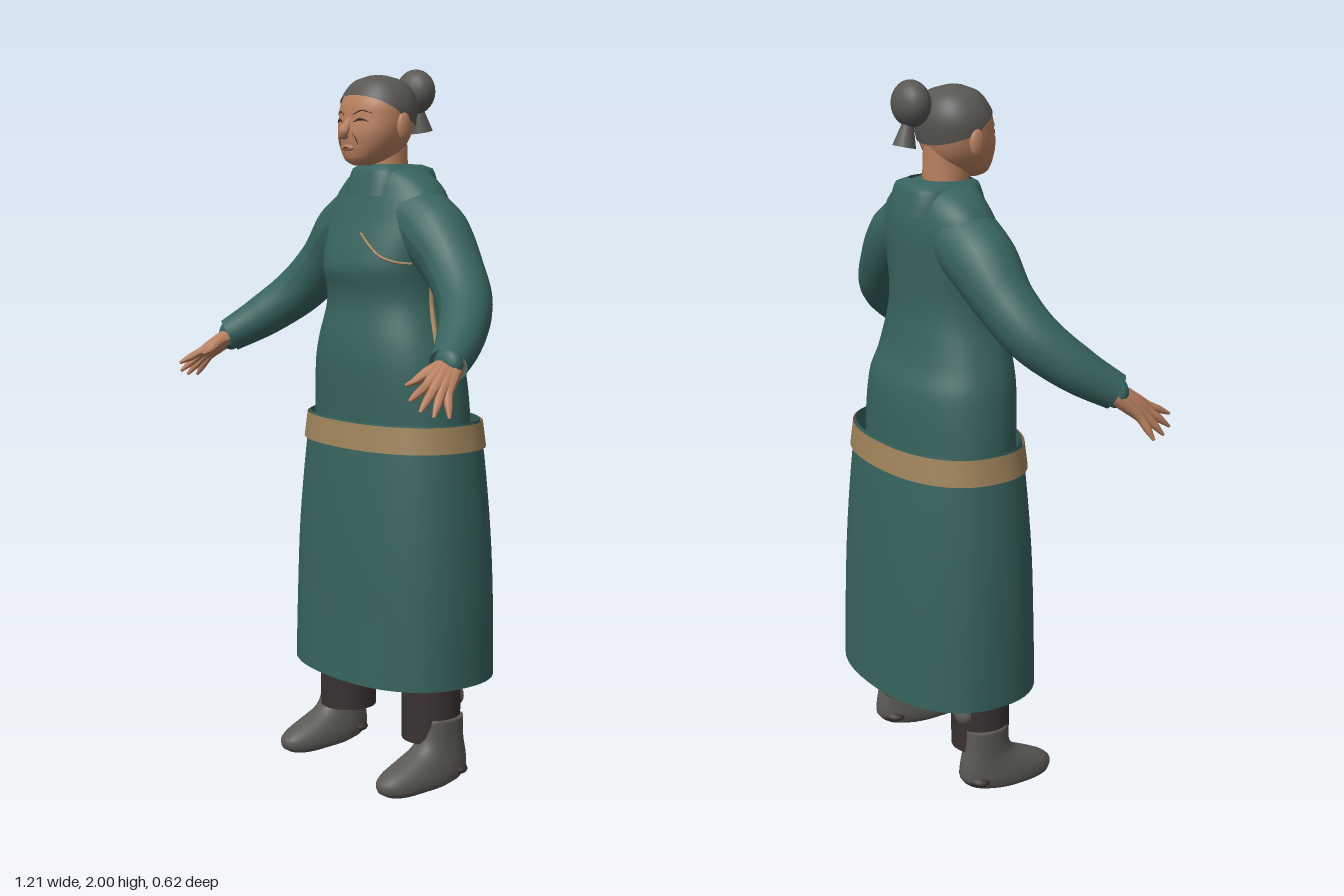
import * as THREE from 'three';

const V = (x, y, z) => new THREE.Vector3(x, y, z);
const mat = (name, color, side = THREE.FrontSide) => {
  const m = new THREE.MeshStandardMaterial({ color, side });
  m.name = name;
  return m;
};

// Section tables: [y, half width, front z, back z]
const TORSO = [[0.96, 0.275, 0.1, -0.235], [1.04, 0.273, 0.103, -0.237], [1.18, 0.255, 0.11, -0.228], [1.25, 0.235, 0.105, -0.203],
  [1.35, 0.2, 0.09, -0.185], [1.4, 0.193, 0.095, -0.18], [1.45, 0.195, 0.108, -0.18], [1.52, 0.207, 0.09, -0.18],
  [1.59, 0.218, 0.062, -0.18], [1.64, 0.21, 0.045, -0.175], [1.68, 0.18, 0.03, -0.165], [1.715, 0.13, 0.02, -0.145], [1.735, 0.075, 0.01, -0.12]];
const SKIRT = [[0.3, 0.33, 0.16, -0.31], [0.5, 0.332, 0.15, -0.302], [0.7, 0.325, 0.142, -0.293], [0.9, 0.306, 0.128, -0.279], [1.035, 0.288, 0.115, -0.265]];
const BELT = [[0.957, 0.307, 0.131, -0.281], [1.03, 0.296, 0.123, -0.273]];
const COLLAR = [[1.652, 0.11, 0.055, -0.195], [1.695, 0.106, 0.043, -0.185], [1.735, 0.09, 0.028, -0.168], [1.738, 0.075, 0.015, -0.14]];
const HEAD = [[1.735, 0.02, 0.06, 0.01], [1.745, 0.048, 0.076, -0.02], [1.765, 0.073, 0.084, -0.06], [1.79, 0.092, 0.088, -0.088], [1.82, 0.105, 0.09, -0.103],
  [1.86, 0.112, 0.084, -0.112], [1.9, 0.111, 0.078, -0.115], [1.94, 0.092, 0.058, -0.1], [1.965, 0.063, 0.034, -0.074], [1.977, 0.02, 0, -0.035]];
const SHOE = [[0.005, 0.045, 0.135, 0], [0.015, 0.06, 0.15, -0.1], [0.04, 0.064, 0.155, -0.14], [0.06, 0.062, 0.135, -0.145],
  [0.085, 0.057, 0.085, -0.143], [0.11, 0.052, 0.035, -0.138], [0.14, 0.05, 0.01, -0.132], [0.2, 0.05, 0, -0.13]];

// Smooth lookup of a section at height y
function section(table, y) {
  let i = 0;
  while (i < table.length - 2 && y > table[i + 1][0]) i++;
  const a = table[i], b = table[i + 1], h = b[0] - a[0];
  const t = THREE.MathUtils.clamp((y - a[0]) / h, 0, 1);
  const p = table[Math.max(i - 1, 0)], q = table[Math.min(i + 2, table.length - 1)];
  return [1, 2, 3].map(k => {
    const m0 = (b[k] - p[k]) / (b[0] - p[0]) * h, m1 = (q[k] - a[k]) / (q[0] - a[0]) * h;
    const t2 = t * t, t3 = t2 * t;
    return (2 * t3 - 3 * t2 + 1) * a[k] + (t3 - 2 * t2 + t) * m0 + (3 * t2 - 2 * t3) * b[k] + (t3 - t2) * m1;
  });
}

// Point on a rounded-oval section; angle 0 faces the front
function surfacePoint(table, y, angle, n = 2.2, grow = 0) {
  const [w, f, b] = section(table, y), s = Math.sin(angle), c = Math.cos(angle);
  const r = v => Math.sign(v) * Math.pow(Math.abs(v), 2 / n);
  return V((w + grow) * r(s), y, (f + b) / 2 + ((f - b) / 2 + grow) * r(c));
}

// Front point of a section at a given x
function frontPoint(table, x, y, n = 2.2, grow = 0.002) {
  const [w, f, b] = section(table, y);
  return V(x, y, (f + b) / 2 + (f - b) / 2 * Math.pow(Math.max(0, 1 - Math.pow(Math.abs(x) / w, n)), 1 / n) + grow);
}

// Closed rings of points, rows from bottom to top
function rings(rows, cols, point, capBottom = false, capTop = false) {
  const pos = [], idx = [];
  const at = (i, j) => i * cols + (j % cols);
  for (let i = 0; i <= rows; i++)
    for (let j = 0; j < cols; j++) pos.push(...point(i / rows, j / cols * Math.PI * 2).toArray());
  for (let i = 0; i < rows; i++)
    for (let j = 0; j < cols; j++) idx.push(at(i, j), at(i, j + 1), at(i + 1, j), at(i, j + 1), at(i + 1, j + 1), at(i + 1, j));
  for (let j = 1; j < cols - 1; j++) {
    if (capBottom) idx.push(0, at(0, j + 1), at(0, j));
    if (capTop) idx.push(at(rows, 0), at(rows, j), at(rows, j + 1));
  }
  const g = new THREE.BufferGeometry();
  g.setAttribute('position', new THREE.Float32BufferAttribute(pos, 3));
  g.setIndex(idx);
  g.computeVertexNormals();
  return g;
}

function loft(table, rows, cols, n = 2.2, capBottom = false, capTop = false) {
  const y0 = table[0][0], y1 = table[table.length - 1][0];
  return rings(rows, cols, (v, a) => surfacePoint(table, y0 + (y1 - y0) * v, a, n), capBottom, capTop);
}

// Tube along points whose radius follows an evenly spaced list
function limb(points, radii, seg = 24, sides = 14) {
  const curve = new THREE.CatmullRomCurve3(points);
  const g = new THREE.TubeGeometry(curve, seg, 1, sides), p = g.attributes.position;
  for (let i = 0; i <= seg; i++) {
    const c = curve.getPointAt(i / seg), t = i / seg * (radii.length - 1), k = Math.min(Math.floor(t), radii.length - 2);
    const r = THREE.MathUtils.lerp(radii[k], radii[k + 1], t - k);
    for (let j = 0; j <= sides; j++) {
      const id = i * (sides + 1) + j, v = V().fromBufferAttribute(p, id).sub(c).multiplyScalar(r).add(c);
      p.setXYZ(id, v.x, v.y, v.z);
    }
  }
  g.computeVertexNormals();
  return g;
}

const ball = (x, y, z, rx, ry, rz) => new THREE.SphereGeometry(1, 20, 14).scale(rx, ry, rz).translate(x, y, z);

export function createModel() {
  const model = new THREE.Group();
  model.name = 'robedWoman';
  const cloth = mat('greenCloth', 0x37635e, THREE.DoubleSide), tan = mat('tanTrim', 0xa0845c, THREE.DoubleSide);
  const skin = mat('skin', 0xb87f5f), hair = mat('greyHair', 0x595754, THREE.DoubleSide);
  const trousers = mat('darkTrousers', 0x3a3132, THREE.DoubleSide), shoe = mat('greyShoe', 0x5b5955);
  const line = mat('faceLine', 0x4a2f25);
  const add = (name, geo, material) => {
    const m = new THREE.Mesh(geo, material);
    m.name = name;
    model.add(m);
    return m;
  };

  // Robe
  add('torso', loft(TORSO, 44, 48, 2.2, false, true), cloth);
  add('skirt', loft(SKIRT, 14, 56, 2.3), cloth);
  add('belt', loft(BELT, 2, 56, 2.3), tan);
  add('collar', loft(COLLAR, 8, 40, 3), cloth);

  // Chest trim and hanging tassel on the left side
  const trim = [[0.05, 1.55], [0.09, 1.52], [0.13, 1.49], [0.165, 1.475], [0.19, 1.47]].map(([x, y]) => frontPoint(TORSO, x, y));
  add('chestTrim', limb(trim, [0.004, 0.004], 20, 6), tan);
  const strap = [1.46, 1.36, 1.27, 1.18].map((y, i) => surfacePoint(TORSO, y, 1.62 - i * 0.05, 2.2, 0.008));
  add('tasselStrap', limb(strap, [0.005, 0.008, 0.009], 16, 6), tan);
  add('tassel', new THREE.BoxGeometry(0.009, 0.06, 0.04).rotateZ(0.1).translate(0.266, 1.16, -0.02), tan);

  // Head and neck
  add('neck', new THREE.CylinderGeometry(0.06, 0.065, 0.14, 24, 1, true).translate(0, 1.755, -0.045), skin);
  add('head', loft(HEAD, 36, 40, 2.15, true, true), skin);
  add('nose', limb([V(0, 1.862, 0.078), V(0, 1.84, 0.09), V(0, 1.82, 0.102), V(0, 1.81, 0.09)], [0.007, 0.011, 0.016, 0.008], 12, 10), skin);
  add('lips', ball(0, 1.782, 0.086, 0.026, 0.009, 0.008), skin);
  const stroke = (name, pts, r) => add(name, limb(pts.map(([x, y]) => frontPoint(HEAD, x, y, 2.15, 0.001)), [0.001, r, 0.001], 12, 6), line);
  add('mouth', limb([V(-0.027, 1.778, 0.085), V(0, 1.783, 0.0945), V(0.027, 1.778, 0.085)], [0.001, 0.0025, 0.001], 12, 6), line);

  // Hair cap ending at the hairline, with bun and loose tail
  add('hairCap', rings(18, 48, (v, a) => {
    const c = Math.cos(a), low = c > 0 ? 1.865 + 0.06 * Math.pow(c, 0.7) : 1.865 + 0.035 * c;
    return surfacePoint(HEAD, THREE.MathUtils.lerp(low, 1.977, Math.sin(v * Math.PI / 2)), a, 2.15, 0.005).add(V(0, 0.003 * v, 0));
  }, false, true), hair);
  add('bun', ball(0, 1.94, -0.152, 0.065, 0.062, 0.049), hair);
  add('bunTail', new THREE.CylinderGeometry(0.016, 0.032, 0.06, 16).rotateX(0.2).translate(0, 1.858, -0.168), hair);

  for (const s of [1, -1]) {
    const side = s > 0 ? 'left' : 'right';
    const P = list => list.map(([x, y, z]) => V(s * x, y, z));

    // Face details
    add(side + 'Ear', ball(s * 0.115, 1.84, -0.02, 0.012, 0.038, 0.022), skin);
    stroke(side + 'Eye', [[s * 0.025, 1.852], [s * 0.047, 1.859], [s * 0.07, 1.852]], 0.004);
    stroke(side + 'Brow', [[s * 0.02, 1.872], [s * 0.05, 1.882], [s * 0.078, 1.874]], 0.002);
    stroke(side + 'CheekCrease', [[s * 0.024, 1.822], [s * 0.036, 1.808], [s * 0.042, 1.79]], 0.0015);

    // Sleeve and cuff
    add(side + 'Sleeve', limb(P([[0.1, 1.6, -0.065], [0.2, 1.545, -0.062], [0.29, 1.46, -0.053], [0.38, 1.372, -0.018],
      [0.46, 1.29, 0.065], [0.515, 1.232, 0.15]]), [0.1, 0.096, 0.08, 0.073, 0.064, 0.05], 36, 22), cloth);
    add(side + 'CuffEnd', ball(s * 0.513, 1.234, 0.147, 0.047, 0.045, 0.03), cloth);

    // Hand: overlapping fingers form the palm
    const tips = [[0.55, 1.155, 0.305], [0.572, 1.128, 0.288], [0.587, 1.114, 0.256], [0.599, 1.11, 0.215]];
    const knuckles = [[0.532, 1.193, 0.226], [0.549, 1.182, 0.222], [0.56, 1.173, 0.208], [0.565, 1.17, 0.19]];
    tips.forEach((tip, i) => add(side + 'Finger' + (i + 1), limb(P([[0.507 + i * 0.006, 1.235, 0.145 - i * 0.004], knuckles[i], tip]),
      [0.026, 0.024, 0.019, 0.012, 0.011, 0.004], 18, 10), skin));
    add(side + 'Thumb', limb(P([[0.508, 1.23, 0.15], [0.496, 1.213, 0.205], [0.487, 1.195, 0.235], [0.483, 1.185, 0.265]]),
      [0.026, 0.018, 0.012, 0.004], 16, 10), skin);

    // Legs and shoes
    add(side + 'TrouserLeg', new THREE.CylinderGeometry(0.088, 0.083, 0.72, 28, 1, true).translate(s * 0.197, 0.49, -0.058), trousers);
    add(side + 'Shoe', loft(SHOE, 24, 32, 2.3, true, true).translate(s * 0.235, 0, 0), shoe);
    add(side + 'BootBack', ball(s * 0.215, 0.245, -0.125, 0.035, 0.035, 0.027), shoe);
    add(side + 'HeelPatch', ball(s * 0.235, 0.045, -0.1, 0.061, 0.02, 0.038), trousers);
  }
  return model;
}
